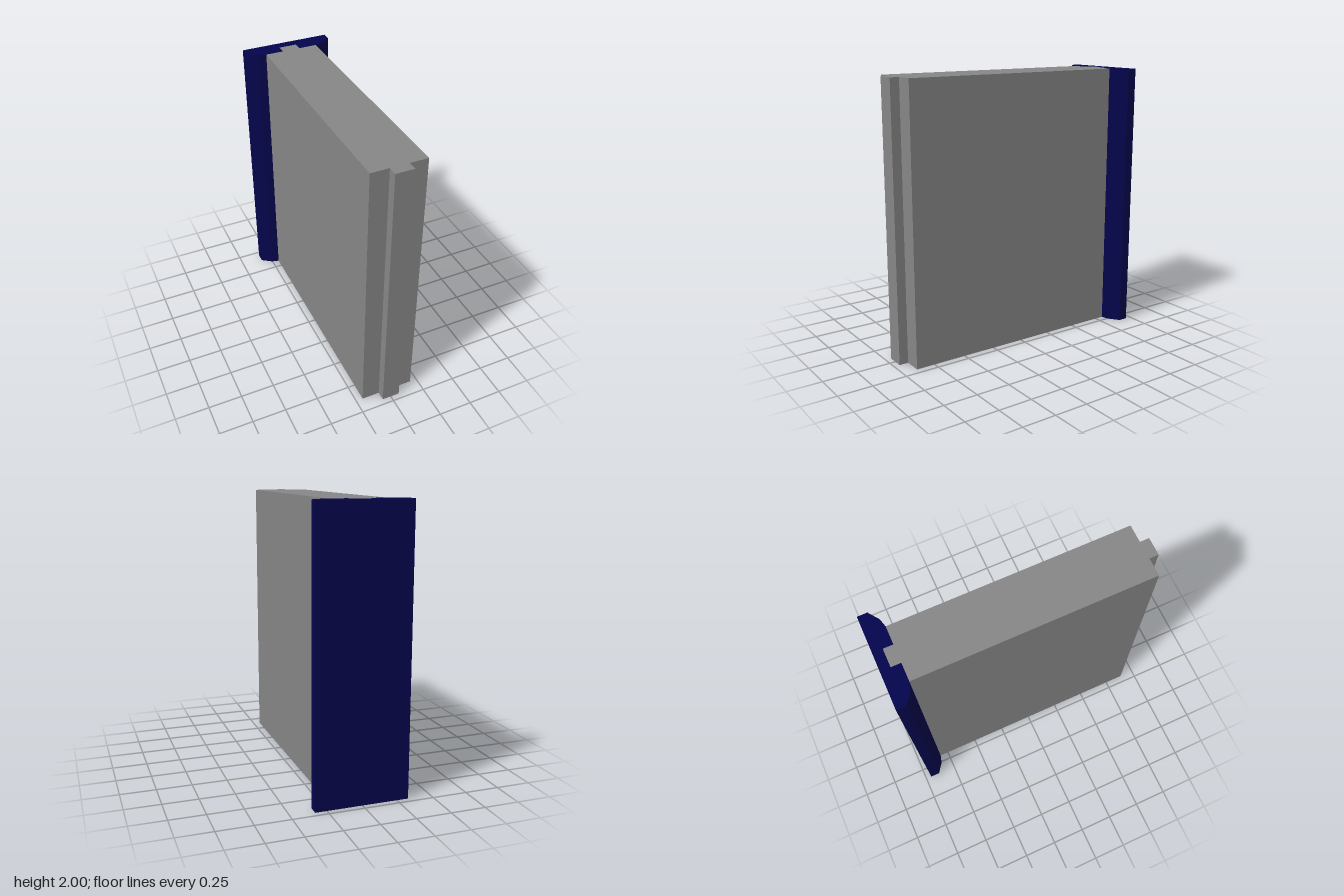
import * as THREE from 'three';

const HEIGHT = 2;

// Builds a symmetric plan outline from its +x half, given as [x, z] from front to back,
// and extrudes it upward from the ground.
function extrudePlan(name, half, color) {
  const right = half.map(([x, z]) => new THREE.Vector2(x, -z));
  const left = half.map(([x, z]) => new THREE.Vector2(-x, -z)).reverse();
  const geometry = new THREE.ExtrudeGeometry(new THREE.Shape([...right, ...left]), {
    depth: HEIGHT,
    bevelEnabled: false,
  });
  geometry.rotateX(-Math.PI / 2);
  const mesh = new THREE.Mesh(geometry, new THREE.MeshStandardMaterial({ color }));
  mesh.name = name;
  return mesh;
}

export function createModel() {
  const group = new THREE.Group();
  group.name = 'edgedPanel';

  const tongue = 0.066; // half width of the tongues
  const core = 0.198; // half thickness of the panel

  // Panel with a tongue on its front and back edges
  group.add(extrudePlan('panel', [
    [tongue, 0.957], [tongue, 0.89], [core, 0.89],
    [core, -0.817], [tongue, -0.817], [tongue, -0.887],
  ], 0x868686));

  // Bevelled edge strip, grooved to take the back tongue
  group.add(extrudePlan('edgeStrip', [
    [tongue, -0.887], [tongue, -0.817], [core, -0.817],
    [0.257, -0.833], [0.332, -0.887], [0.332, -0.957],
  ], 0x04044c));

  return group;
}
